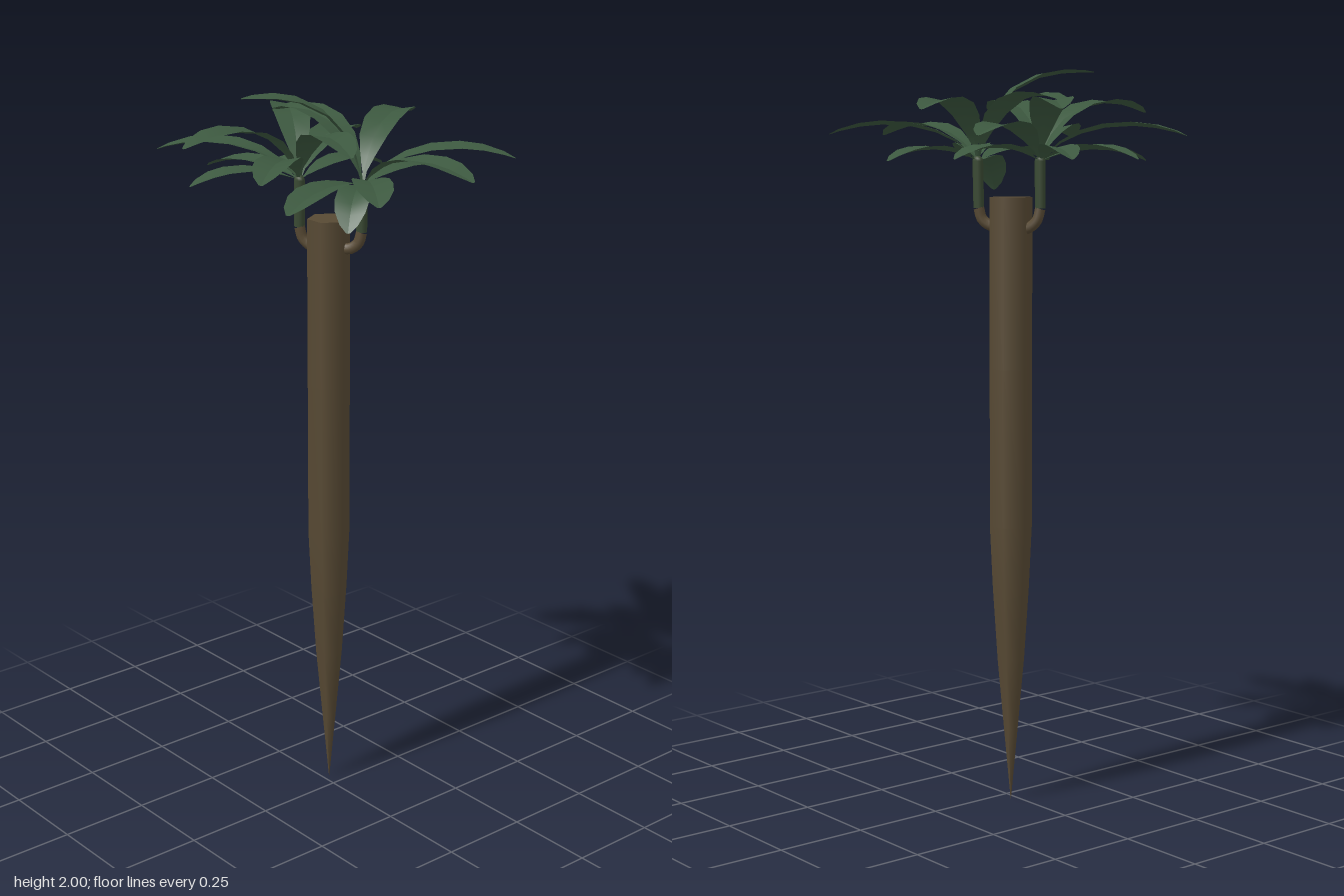
import * as THREE from 'three';

const bark = new THREE.MeshStandardMaterial({ color: 0x584a34 });
const stemGreen = new THREE.MeshStandardMaterial({ color: 0x3a4a33 });
const leafGreen = new THREE.MeshStandardMaterial({ color: 0x3d5940, side: THREE.DoubleSide });

// Half-width along the leaf: thin stalk, broad blade, blunt point
const OUTLINE = [
  [0, 0.004], [0.08, 0.006], [0.18, 0.022], [0.32, 0.039], [0.48, 0.049],
  [0.66, 0.051], [0.8, 0.045], [0.93, 0.027], [1, 0.006],
];

function add(parent, name, geometry, material) {
  const mesh = new THREE.Mesh(geometry, material);
  mesh.name = name;
  parent.add(mesh);
  return mesh;
}

// Arching leaf, folded along its midrib; each half is its own strip so the fold stays sharp.
// Leaves with higher tips leave the crown more steeply.
function leafGeometry(base, tip, arch, scale) {
  const at = (k, y) => new THREE.Vector3(
    THREE.MathUtils.lerp(base.x, tip.x, k), y, THREE.MathUtils.lerp(base.z, tip.z, k));
  const steep = THREE.MathUtils.clamp(0.28 - 1.1 * (tip.y - base.y), 0.14, 0.25);
  const spine = new THREE.CubicBezierCurve3(
    base, at(steep, tip.y + 0.6 * arch), at(0.64, tip.y + arch), tip);
  const across = new THREE.Vector3(tip.z - base.z, 0, base.x - tip.x).normalize();
  const positions = [], indices = [];
  for (const side of [1, -1]) {
    const start = positions.length / 3;
    OUTLINE.forEach(([t, half], i) => {
      const mid = spine.getPointAt(t);
      const edge = mid.clone().addScaledVector(across, side * half * scale);
      edge.y += half * 0.2;
      positions.push(...mid.toArray(), ...edge.toArray());
      if (i === 0) return;
      const a = start + 2 * i - 2, b = a + 1, c = a + 2, d = a + 3;
      if (side > 0) indices.push(a, b, c, b, d, c);
      else indices.push(a, c, b, b, c, d);
    });
  }
  const geometry = new THREE.BufferGeometry();
  geometry.setAttribute('position', new THREE.Float32BufferAttribute(positions, 3));
  geometry.setIndex(indices);
  geometry.computeVertexNormals();
  return geometry;
}

// Elbow out of the trunk, upright stem and a rosette of leaves
function branch(name, elbow, crown, tips) {
  const group = new THREE.Group();
  group.name = name;
  const points = elbow.map((p) => new THREE.Vector3(...p));
  const base = new THREE.Vector3(...crown);
  const last = points[points.length - 1];
  add(group, 'elbow', new THREE.TubeGeometry(new THREE.CatmullRomCurve3(points), 10, 0.015, 8), bark);
  add(group, 'stem', new THREE.TubeGeometry(new THREE.LineCurve3(last, base), 2, 0.0145, 8), stemGreen);
  add(group, 'bud', new THREE.SphereGeometry(0.0145, 8, 6), stemGreen).position.copy(base);
  for (const [x, y, z, arch = 0.05] of tips) {
    const reach = Math.hypot(x - base.x, z - base.z);
    const geometry = leafGeometry(base, new THREE.Vector3(x, y, z), arch, reach < 0.3 ? 0.88 : 1);
    add(group, 'leaf', geometry, leafGreen);
  }
  return group;
}

export function createModel() {
  const model = new THREE.Group();
  model.name = 'tree';

  // Six-sided trunk tapering to a point at the foot
  const trunk = new THREE.Group();
  trunk.name = 'trunk';
  trunk.position.set(-0.043, 0, -0.02);
  const profile = [
    [0.0005, 0], [0.019, 0.2], [0.037, 0.4], [0.05, 0.6], [0.058, 0.77], [0.058, 1.2], [0.058, 1.66],
  ].map(([r, y]) => new THREE.Vector2(r, y));
  add(trunk, 'trunkShaft', new THREE.LatheGeometry(profile, 6), bark).rotation.y = Math.PI / 2;
  const cap = add(trunk, 'trunkTop', new THREE.CircleGeometry(0.058, 6), bark);
  cap.rotation.x = -Math.PI / 2;
  cap.position.y = 1.66;
  model.add(trunk);

  // Leaf tips run in tiers: upper, middle, lower; a fourth value sets the arch
  model.add(branch('rightBranch',
    [[-0.06, 1.578, -0.01], [-0.09, 1.578, 0.0], [-0.112, 1.598, 0.012], [-0.119, 1.63, 0.018]],
    [-0.118, 1.755, 0.018],
    [
      [-0.125, 1.885, 0.387], [0.23, 1.885, 0.135], [-0.43, 1.885, -0.177],
      [0.10, 1.82, 0.317], [-0.425, 1.82, 0.257], [-0.303, 1.82, -0.338],
      [-0.40, 1.76, 0.108], [-0.235, 1.755, 0.29], [-0.12, 1.76, -0.27], [-0.325, 1.76, -0.05],
    ]));
  model.add(branch('leftBranch',
    [[-0.02, 1.588, -0.03], [0.01, 1.583, -0.045], [0.03, 1.6, -0.06], [0.036, 1.63, -0.067]],
    [0.036, 1.755, -0.07],
    [
      [-0.12, 1.99, 0.205, 0], [-0.14, 1.885, -0.39], [-0.318, 1.9, -0.055],
      [0.29, 1.825, -0.375], [0.428, 1.825, -0.093],
      [0.043, 1.755, -0.362], [0.29, 1.765, 0.095], [0.178, 1.755, 0.295],
      [0.165, 1.675, 0.09, 0.13],
    ]));
  return model;
}
